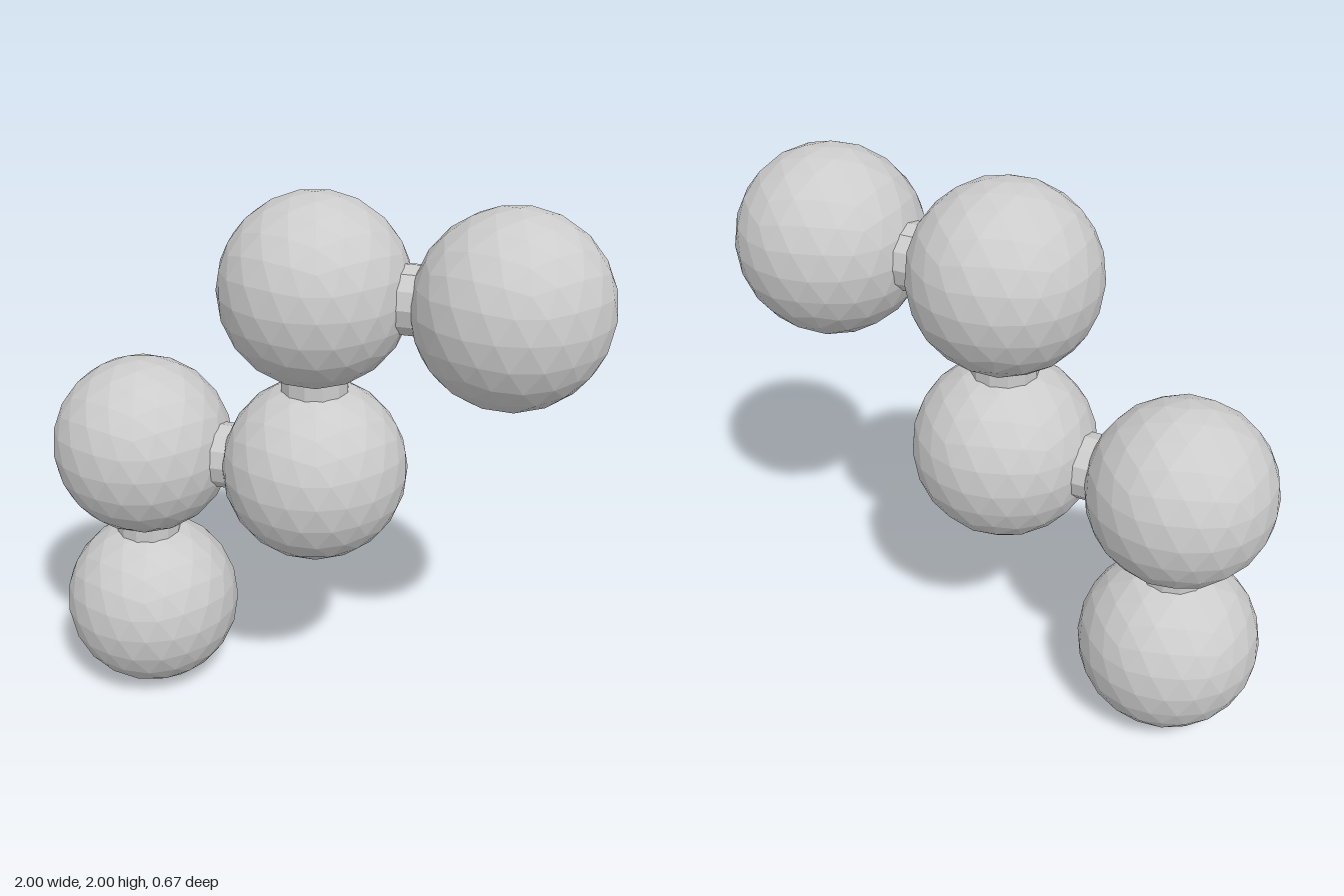
import * as THREE from 'three';

export function createModel() {
  const model = new THREE.Group();
  const material = new THREE.MeshStandardMaterial({ color: 0xcccccc, flatShading: true });
  const R = 1 / 3;
  const STEP = 2 * R;

  // Faceted ball, turned so that a corner of the icosahedron points straight up
  const ballGeometry = new THREE.IcosahedronGeometry(R, 3);
  ballGeometry.rotateZ(Math.atan(2 / (1 + Math.sqrt(5))));
  ballGeometry.rotateY(Math.PI);

  // Short peg that bridges two touching balls
  const pegGeometry = new THREE.CylinderGeometry(0.12, 0.12, 0.3, 12);

  // Ball centres along the zigzag chain, in steps of one ball diameter
  const chain = [[-1, 0], [-1, 1], [0, 1], [0, 2], [1, 2]]
    .map(([i, j]) => new THREE.Vector3(i * STEP, R + j * STEP, 0));

  chain.forEach((centre, i) => {
    const ball = new THREE.Mesh(ballGeometry, material);
    ball.name = `ball${i + 1}`;
    ball.position.copy(centre);
    model.add(ball);

    if (i === 0) return;
    const previous = chain[i - 1];
    const peg = new THREE.Mesh(pegGeometry, material);
    peg.name = `peg${i}`;
    peg.position.lerpVectors(previous, centre, 0.5);
    if (Math.abs(centre.x - previous.x) > 0.1) peg.rotation.z = Math.PI / 2;
    model.add(peg);
  });

  return model;
}
